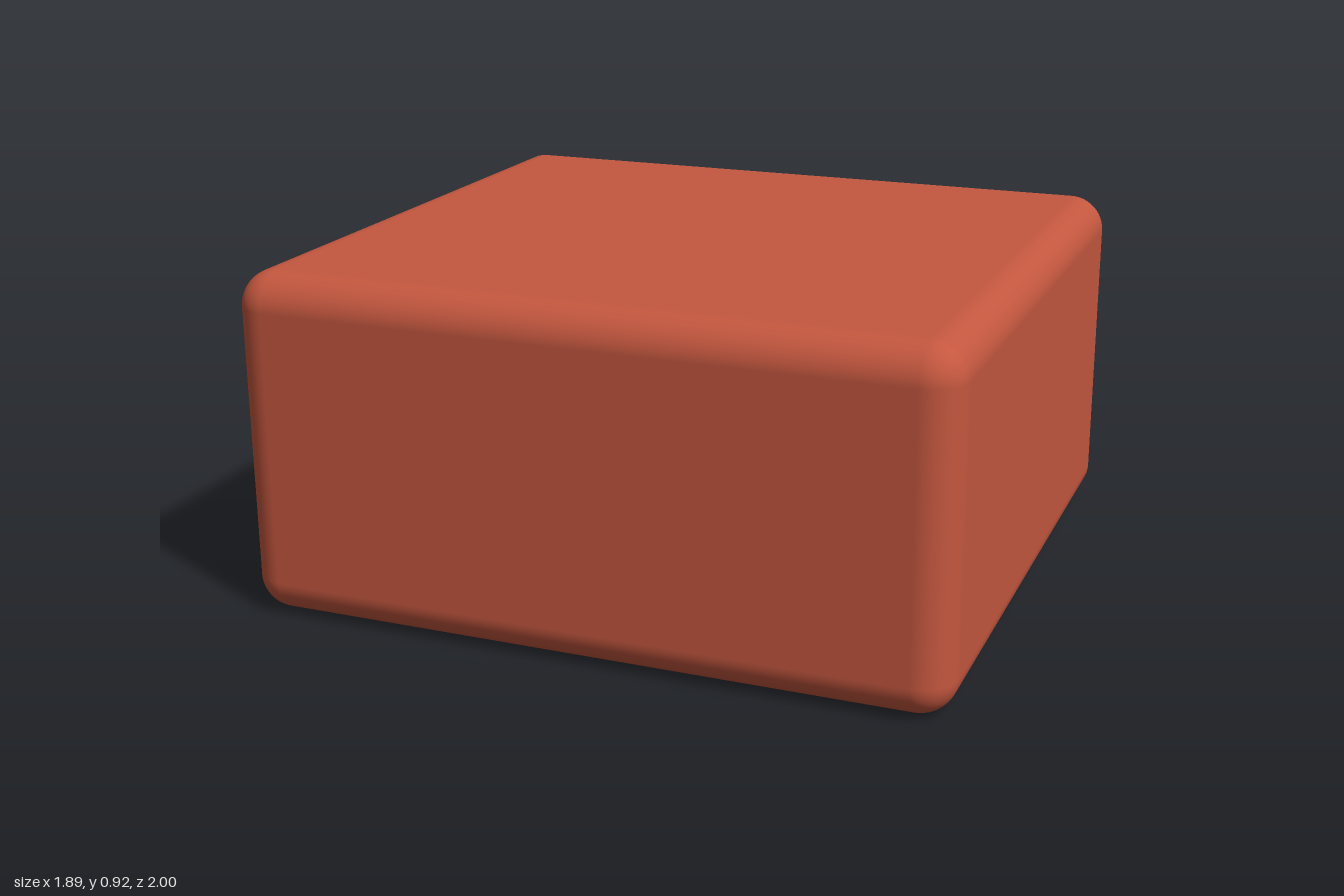
import * as THREE from 'three';

const HALF_W = 0.945, HALF_H = 0.46, RADIUS = 0.095;
const BACK = -0.65, FRONT = 1, STEPS = 12;

// Block with rounded sides and front, and a sharp-edged flat back
function roundedFrontBlock() {
  const ix = HALF_W - RADIUS, iy = HALF_H - RADIUS;
  const corners = [[1, 1], [-1, 1], [-1, -1], [1, -1]];
  const pos = [], nor = [], idx = [];

  // One rounded-rectangle ring; tilt turns it from the side to the front
  const addRing = (z, tilt) => {
    const c = Math.cos(tilt), s = Math.sin(tilt);
    corners.forEach(([sx, sy], q) => {
      for (let i = 0; i <= STEPS; i++) {
        const a = (q + i / STEPS) * Math.PI / 2;
        const nx = Math.cos(a) * c, ny = Math.sin(a) * c;
        pos.push(sx * ix + RADIUS * nx, sy * iy + RADIUS * ny, z + RADIUS * s);
        nor.push(nx, ny, s);
      }
    });
  };
  addRing(BACK, 0);
  for (let k = 0; k <= STEPS; k++) addRing(FRONT - RADIUS, k / STEPS * Math.PI / 2);

  const n = corners.length * (STEPS + 1);
  for (let r = 0; r <= STEPS; r++) {
    for (let i = 0; i < n; i++) {
      const a = r * n + i, b = r * n + (i + 1) % n;
      idx.push(a, b, a + n, b, b + n, a + n);
    }
  }

  // Flat caps
  const addCap = (ring, nz) => {
    const centre = pos.length / 3;
    pos.push(0, 0, nz > 0 ? FRONT : BACK);
    nor.push(0, 0, nz);
    for (let i = 0; i < n; i++) {
      const v = (ring * n + i) * 3;
      pos.push(pos[v], pos[v + 1], pos[v + 2]);
      nor.push(0, 0, nz);
      const a = centre + 1 + i, b = centre + 1 + (i + 1) % n;
      if (nz > 0) idx.push(centre, a, b);
      else idx.push(centre, b, a);
    }
  };
  addCap(0, -1);
  addCap(STEPS + 1, 1);

  const geo = new THREE.BufferGeometry();
  geo.setAttribute('position', new THREE.Float32BufferAttribute(pos, 3));
  geo.setAttribute('normal', new THREE.Float32BufferAttribute(nor, 3));
  geo.setIndex(idx);
  return geo;
}

export function createModel() {
  const model = new THREE.Group();
  model.name = 'twoPinBlock';

  const body = new THREE.Mesh(roundedFrontBlock(), new THREE.MeshStandardMaterial({ color: 0xc4573f }));
  body.name = 'body';
  body.position.y = HALF_H;
  model.add(body);

  // Two round pins sticking out of the back
  const pinGeo = new THREE.CylinderGeometry(0.062, 0.062, 0.37, 32).rotateX(Math.PI / 2);
  const pinMat = new THREE.MeshStandardMaterial({ color: 0xd0d0c8 });
  for (const side of [1, -1]) {
    const pin = new THREE.Mesh(pinGeo, pinMat);
    pin.name = side > 0 ? 'leftPin' : 'rightPin';
    pin.position.set(side * 0.688, 0.462, -0.815);
    model.add(pin);
  }
  return model;
}
